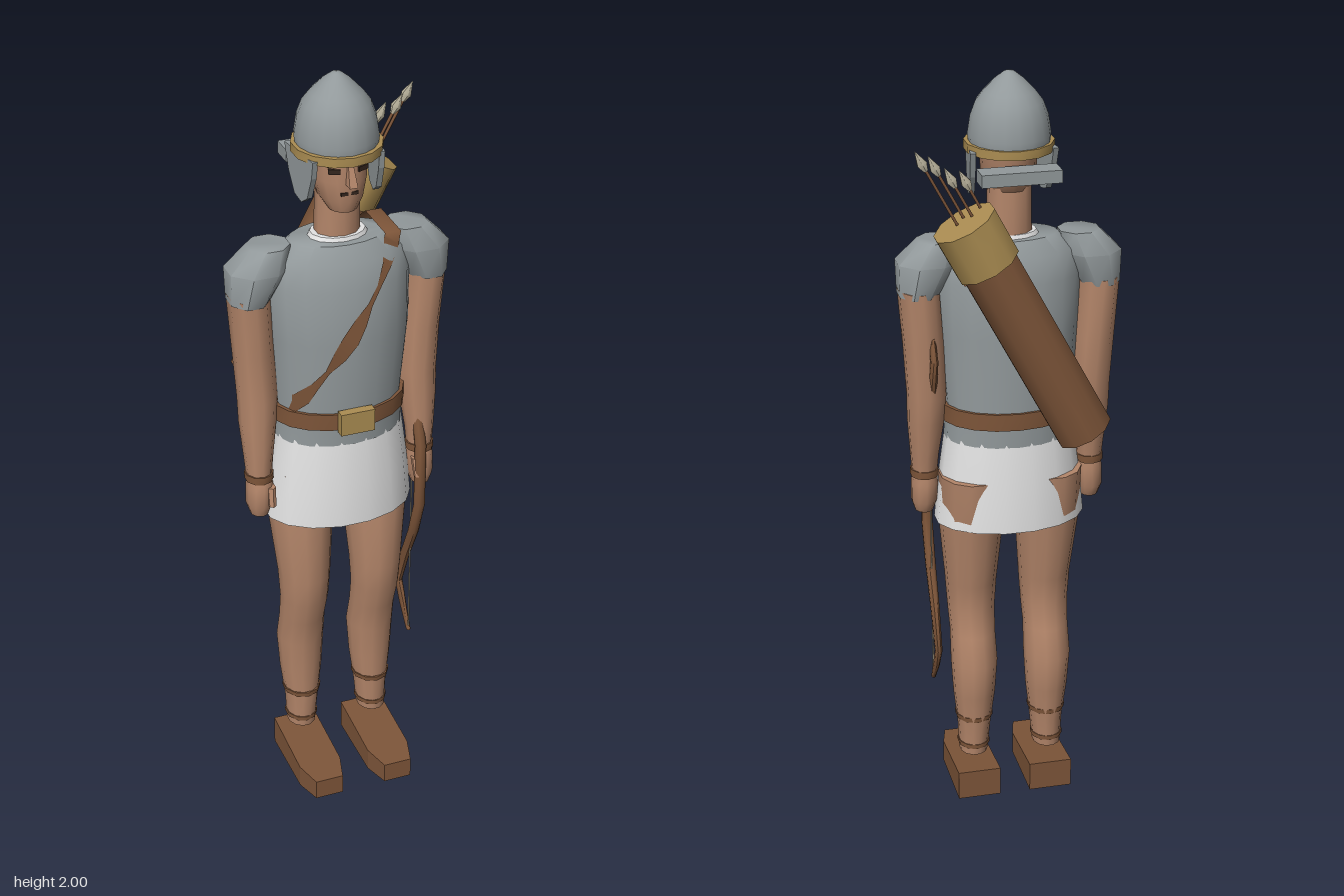
import * as THREE from 'three';
import { toCreasedNormals } from 'three/addons/utils/BufferGeometryUtils.js';

const mat = (name, color, side = THREE.FrontSide) =>
  Object.assign(new THREE.MeshStandardMaterial({ color, side }), { name });

// Rings [y, centreX, centreZ, radiusX, radiusZ], listed bottom to top, joined into a skin
function loft(rings, sides = 10, capped = true, crease = 0.9) {
  const pos = [], idx = [];
  for (const [y, cx, cz, rx, rz] of rings)
    for (let i = 0; i < sides; i++) {
      const a = ((i + 0.5) / sides) * Math.PI * 2;
      pos.push(cx + rx * Math.cos(a), y, cz + rz * Math.sin(a));
    }
  for (let j = 0; j < rings.length - 1; j++)
    for (let i = 0; i < sides; i++) {
      const a = j * sides + i, b = j * sides + ((i + 1) % sides);
      idx.push(a, a + sides, b, b, a + sides, b + sides);
    }
  if (capped) {
    const top = (rings.length - 1) * sides;
    for (let i = 1; i < sides - 1; i++) idx.push(0, i, i + 1, top, top + i + 1, top + i);
  }
  const g = new THREE.BufferGeometry();
  g.setAttribute('position', new THREE.Float32BufferAttribute(pos, 3));
  g.setIndex(idx);
  return toCreasedNormals(g, crease);
}

const TORSO = [[1.05, 0, 0.04, 0.17, 0.12], [1.14, 0, 0.04, 0.165, 0.12], [1.34, 0, 0.048, 0.18, 0.129],
  [1.48, 0, 0.042, 0.184, 0.118], [1.545, 0, 0.04, 0.17, 0.1], [1.585, 0, 0.04, 0.125, 0.075]];

// Front surface of the torso at a given x and y
function torsoFront(x, y) {
  let k = 0;
  while (k < TORSO.length - 2 && y > TORSO[k + 1][0]) k++;
  const t = Math.min(1, (y - TORSO[k][0]) / (TORSO[k + 1][0] - TORSO[k][0]));
  const v = (i) => TORSO[k][i] + (TORSO[k + 1][i] - TORSO[k][i]) * t;
  return v(2) + v(4) * Math.sqrt(Math.max(0, 1 - (x / v(3)) ** 2)) + 0.003;
}

export function createModel() {
  const root = new THREE.Group();
  root.name = 'archer';
  const skin = mat('skin', 0xb4866a);
  const leather = mat('leather', 0x7d5539, THREE.DoubleSide);
  const steel = mat('steel', 0x92999b);
  const brass = mat('brass', 0xab8d52);
  const cloth = mat('white cloth', 0xe4e4e4, THREE.DoubleSide);
  const dark = mat('dark', 0x33251d);
  const tip = mat('arrow tip', 0xb9b29c);

  const add = (name, geo, material, parent = root, x = 0, y = 0, z = 0) => {
    const m = new THREE.Mesh(geo, material);
    m.name = name;
    m.position.set(x, y, z);
    parent.add(m);
    return m;
  };
  const box = (w, h, d) => new THREE.BoxGeometry(w, h, d);

  // Torso and clothing
  add('cuirass', loft(TORSO, 18), steel);
  add('tunicSkirt', loft([[0.815, 0, 0.04, 0.198, 0.133], [0.93, 0, 0.04, 0.187, 0.128],
    [1.06, 0, 0.04, 0.169, 0.118]], 16, false), cloth);
  add('collar', loft([[1.57, 0, 0.038, 0.085, 0.062], [1.595, 0, 0.038, 0.07, 0.054]], 14), cloth);
  add('belt', loft([[1.1, 0, 0.04, 0.175, 0.127], [1.145, 0, 0.04, 0.175, 0.127]], 18), leather);
  add('buckle', box(0.09, 0.06, 0.024), brass, root, 0, 1.125, 0.173);

  // Shoulder strap: diagonal on the chest, then over the shoulder to the quiver
  const pts = [];
  const widths = [0.014, 0.018, 0.01, 0.006, 0.018, 0.022, 0.018, 0.007, 0.006, 0.014, 0.024];
  widths.forEach((w, i) => {
    const t = i / (widths.length - 1);
    const x = -0.155 + 0.275 * t, y = 1.145 + 0.42 * t;
    for (const s of [-1, 1]) {
      const px = x + s * w * 0.83, py = y - s * w * 0.56;
      pts.push(px, py, torsoFront(px, py));
    }
  });
  for (const [y, z] of [[1.592, 0.1], [1.594, -0.03], [1.56, -0.075], [1.5, -0.09]])
    pts.push(0.1, y, z, 0.142, y, z);
  const strapIdx = [];
  for (let i = 0; i < pts.length / 3 - 2; i += 2) strapIdx.push(i, i + 1, i + 2, i + 1, i + 3, i + 2);
  const strap = new THREE.BufferGeometry();
  strap.setAttribute('position', new THREE.Float32BufferAttribute(pts, 3));
  strap.setIndex(strapIdx);
  strap.computeVertexNormals();
  add('quiverStrap', strap, leather);

  // Head
  const head = new THREE.Group();
  head.name = 'head';
  root.add(head);
  add('neck', loft([[1.56, 0, 0.035, 0.058, 0.05], [1.72, 0, 0.035, 0.056, 0.048]], 10), skin, head);
  add('face', loft([[1.67, 0, 0.07, 0.036, 0.042], [1.7, 0, 0.055, 0.055, 0.066],
    [1.75, 0, 0.043, 0.069, 0.08], [1.83, 0, 0.038, 0.073, 0.083]], 14), skin, head);
  add('nose', loft([[1.748, 0, 0.125, 0.015, 0.032], [1.8, 0, 0.115, 0.009, 0.016]], 4), skin, head);
  add('mouth', box(0.044, 0.008, 0.008), dark, head, 0, 1.723, 0.117);
  for (const s of [-1, 1]) {
    add('eye', box(0.03, 0.012, 0.008), dark, head, s * 0.036, 1.782, 0.111).rotation.y = s * 0.4;
    add('eyebrow', box(0.036, 0.008, 0.008), leather, head, s * 0.036, 1.798, 0.112).rotation.y = s * 0.4;
  }

  // Helmet with brim, cheek guards and neck plate
  const bowl = [[0.1, 1.82], [0.103, 1.845], [0.096, 1.89], [0.083, 1.925], [0.064, 1.95],
    [0.035, 1.98], [0.013, 1.997], [0, 2]].map(([r, y]) => new THREE.Vector2(r, y));
  const helmet = add('helmet', new THREE.LatheGeometry(bowl, 18), steel, head, 0, 0, 0.031);
  helmet.scale.z = 1.07;
  add('helmetBrim', loft([[1.805, 0, 0.034, 0.112, 0.117], [1.828, 0, 0.034, 0.112, 0.117]], 14), brass, head);
  const cheek = new THREE.Shape([[-0.03, 1.815], [0.115, 1.815], [0.108, 1.77], [0.085, 1.71],
    [0.055, 1.69], [0.02, 1.7], [-0.01, 1.75]].map(([z, y]) => new THREE.Vector2(z, y)));
  for (const s of [-1, 1]) {
    const guard = add('cheekGuard', new THREE.ExtrudeGeometry(cheek, { depth: 0.014, bevelEnabled: false }),
      steel, head, s * 0.1 + 0.007);
    guard.rotation.y = -Math.PI / 2 - s * 0.13;
  }
  add('neckPlate', box(0.2, 0.032, 0.06), steel, head, 0, 1.766, -0.076);

  // Arms, legs and shoes
  const sole = new THREE.Shape([[-0.058, 0.035], [-0.058, -0.17], [-0.036, -0.238], [0.04, -0.238],
    [0.058, -0.17], [0.058, 0.035]].map(([x, z]) => new THREE.Vector2(x, z)));
  const shoe = new THREE.ExtrudeGeometry(sole, { depth: 0.08, bevelEnabled: false }).rotateX(-Math.PI / 2);
  const sp = shoe.attributes.position;
  for (let i = 0; i < sp.count; i++)
    if (sp.getY(i) > 0.04) sp.setY(i, 0.08 - (sp.getZ(i) + 0.035) * 0.09);
  shoe.computeVertexNormals();

  for (const s of [-1, 1]) {
    const limb = (name, rings, material, sides = 10) =>
      add(name, loft(rings.map(([y, x, ...r]) => [y, s * x, ...r]), sides), material);
    limb('shoulderGuard', [[1.445, 0.234, 0.038, 0.053, 0.066], [1.53, 0.209, 0.038, 0.082, 0.078],
      [1.585, 0.18, 0.038, 0.055, 0.053]], steel, 8);
    limb('arm', [[0.94, 0.22, 0.058, 0.032, 0.036], [1.0, 0.22, 0.055, 0.037, 0.041],
      [1.1, 0.217, 0.045, 0.048, 0.05], [1.17, 0.215, 0.04, 0.051, 0.053],
      [1.3, 0.222, 0.035, 0.052, 0.057], [1.46, 0.233, 0.036, 0.053, 0.064]], skin);
    limb('hand', [[0.84, 0.222, 0.062, 0.024, 0.028], [0.87, 0.222, 0.06, 0.034, 0.041],
      [0.92, 0.22, 0.06, 0.035, 0.041], [0.945, 0.22, 0.058, 0.032, 0.036]], skin);
    limb('thumb', [[0.875, 0.2, 0.1, 0.01, 0.012], [0.925, 0.198, 0.088, 0.012, 0.015]], skin, 6);
    limb('wristBand', [[0.94, 0.22, 0.058, 0.037, 0.041], [0.96, 0.22, 0.058, 0.037, 0.041]], leather);
    limb('leg', [[0.12, 0.102, 0.03, 0.038, 0.046], [0.2, 0.1, 0.03, 0.044, 0.05],
      [0.3, 0.1, 0.025, 0.056, 0.06], [0.4, 0.1, 0.022, 0.062, 0.07], [0.48, 0.1, 0.04, 0.06, 0.066],
      [0.55, 0.1, 0.058, 0.063, 0.07], [0.63, 0.1, 0.058, 0.068, 0.08], [0.8, 0.102, 0.04, 0.083, 0.1],
      [0.95, 0.1, 0.025, 0.088, 0.1]], skin, 12);
    limb('upperAnkleStrap', [[0.225, 0.1, 0.03, 0.05, 0.056], [0.238, 0.1, 0.03, 0.051, 0.057]], leather);
    limb('lowerAnkleStrap', [[0.14, 0.1015, 0.03, 0.043, 0.05], [0.152, 0.1015, 0.03, 0.043, 0.05]], leather);
    add('shoe', shoe, leather, root, s * 0.099).scale.x = 1;
  }

  // Recurve bow held in the left hand
  const half = [[0.53, 0.045, 0.006, 0.008], [0.47, 0.003, 0.008, 0.018], [0.41, -0.03, 0.01, 0.014],
    [0.305, 0.01, 0.012, 0.018], [0.195, 0.065, 0.014, 0.017], [0.09, 0.1, 0.015, 0.014]];
  const ring = (sign) => ([d, z, rx, rz]) => [0.875 + sign * d, 0.207, z, rx, rz];
  add('bow', loft([...half.map(ring(-1)), [0.875, 0.207, 0.1, 0.015, 0.014],
    ...half.slice().reverse().map(ring(1))], 8), leather);
  add('bowString', new THREE.CylinderGeometry(0.002, 0.002, 1.05, 5), tip, root, 0.207, 0.875, 0.045);

  // Quiver with arrows, slung across the back
  const quiver = new THREE.Group();
  quiver.name = 'quiver';
  quiver.position.set(-0.148, 1.117, -0.156);
  quiver.rotation.z = -0.491;
  root.add(quiver);
  const tube = (r, h) => toCreasedNormals(new THREE.CylinderGeometry(r, r, h, 10), 0.9);
  add('quiverBody', tube(0.074, 0.53), leather, quiver, 0, 0.265);
  add('quiverRim', tube(0.083, 0.125), brass, quiver, 0, 0.582);
  for (const [x, y, z] of [[0.016, 0.857, 0.009], [-0.006, 0.823, 0.029], [-0.025, 0.784, 0.009], [-0.053, 0.752, 0.029]]) {
    add('arrowShaft', new THREE.CylinderGeometry(0.004, 0.004, y - 0.63, 6), leather, quiver, x, (y + 0.59) / 2, z);
    add('arrowHead', loft([[-0.055, 0, 0, 0.006, 0.006], [-0.035, 0, 0, 0.014, 0.011], [0, 0, 0, 0.001, 0.001]], 6),
      tip, quiver, x, y, z);
  }
  return root;
}
